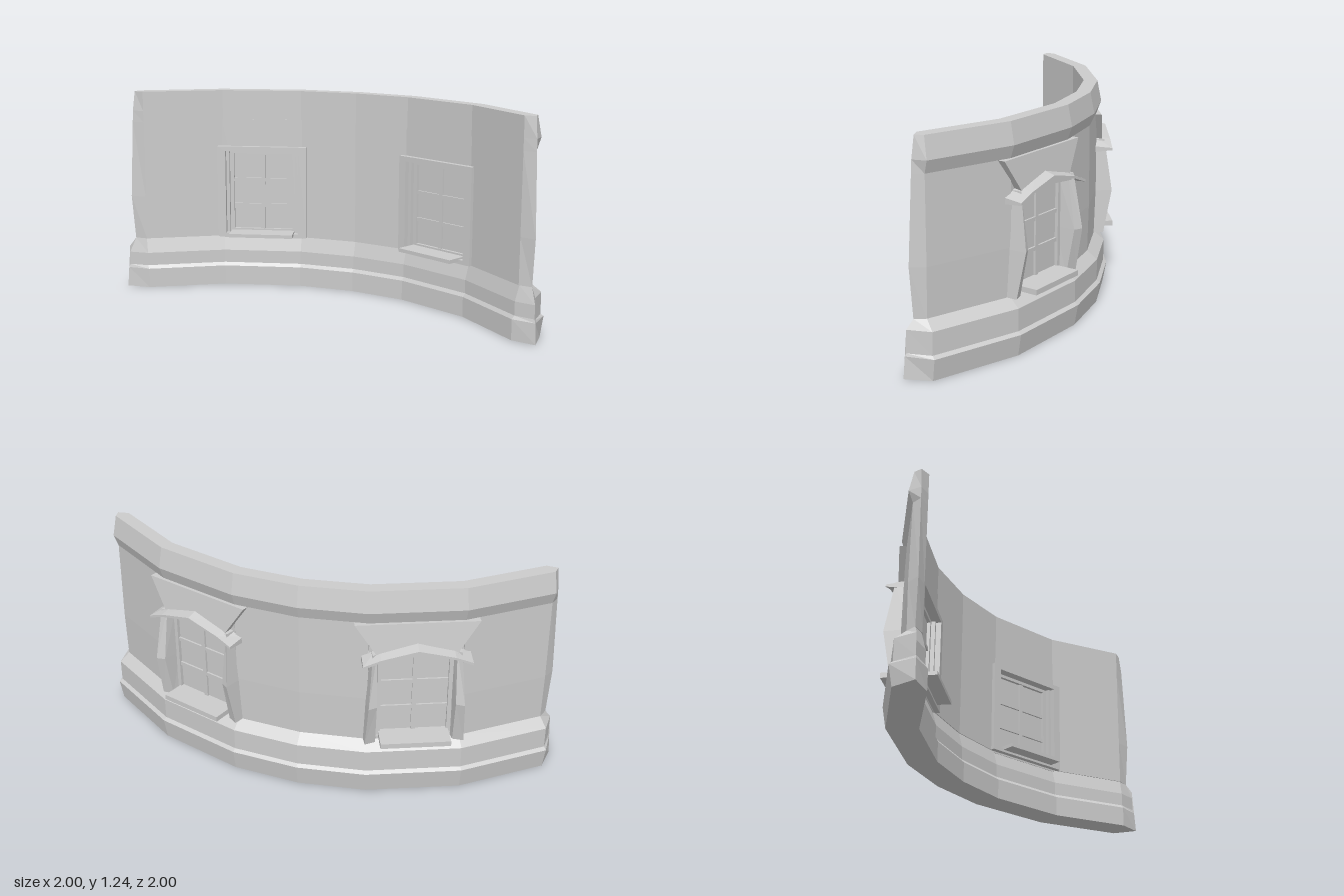
import * as THREE from 'three';

const CX = -0.88, CZ = 0.88;                 // centre of the quarter circle
const TIP_R = 1.77;                          // radius of the pointed wall ends
const HALF = 0.254;                          // half width of a window bay
const rad = THREE.MathUtils.degToRad;
const mat = new THREE.MeshStandardMaterial({ color: 0xcccccc, flatShading: true, side: THREE.DoubleSide });

function add(parent, name, geometry) {
  const m = new THREE.Mesh(geometry, mat);
  m.name = name;
  parent.add(m);
  return m;
}

function box(parent, name, w, h, d, x, y, z) {
  return add(parent, name, new THREE.BoxGeometry(w, h, d)).position.set(x, y, z);
}

// Capped solid through equal-length closed rings, turned outward by its signed volume
function loft(rings) {
  const tris = [], n = rings[0].length;
  for (let i = 0; i + 1 < rings.length; i++) {
    for (let j = 0; j < n; j++) {
      const k = (j + 1) % n;
      const a = rings[i][j], b = rings[i][k], c = rings[i + 1][k], d = rings[i + 1][j];
      tris.push([a, b, c], [a, c, d]);
    }
  }
  const last = rings[rings.length - 1];
  for (let j = 1; j + 1 < n; j++) {
    tris.push([rings[0][0], rings[0][j + 1], rings[0][j]], [last[0], last[j], last[j + 1]]);
  }
  let volume = 0;
  const cross = new THREE.Vector3();
  for (const [a, b, c] of tris) volume += a.dot(cross.crossVectors(b, c));
  const pts = tris.flatMap(([a, b, c]) => (volume < 0 ? [a, c, b] : [a, b, c]));
  const g = new THREE.BufferGeometry().setFromPoints(pts);
  g.computeVertexNormals();
  return g;
}

const V = (x, y, z) => new THREE.Vector3(x, y, z);

// Point on the arc: angle, radius, height and a shift along the tangent
function onArc(deg, r, y, shift = 0) {
  const a = rad(deg);
  return V(CX + r * Math.sin(a) + shift * Math.cos(a), y, CZ - r * Math.cos(a) + shift * Math.sin(a));
}

// How far the pointed end reaches past the arc at a height
const TIPS = [[0, 0.12], [0.12, 0.11], [0.14, 0.1], [0.26, 0.1], [0.31, 0.06], [0.58, 0.08], [1.12, 0.055], [1.24, 0.04]];
function tipReach(y) {
  for (let i = 1; i < TIPS.length; i++) {
    const [y0, t0] = TIPS[i - 1], [y1, t1] = TIPS[i];
    if (y <= y1) return t0 + (t1 - t0) * (y - y0) / (y1 - y0);
  }
  return 0.04;
}

// Sweep a profile of [radius, y] along the arc, closing to a tip at 0 and 90 degrees
function sweep(profile, angles) {
  const tip = (deg, s) => profile.map(([, y]) => onArc(deg, TIP_R, y, s * tipReach(y)));
  const rings = angles.map(a => profile.map(([r, y]) => onArc(a, r, y)));
  if (angles[0] === 0) rings.unshift(tip(0, -1));
  if (angles[angles.length - 1] === 90) rings.push(tip(90, 1));
  return loft(rings);
}

function rect(hw, y0, y1, Type = THREE.Shape) {
  return new Type([[-hw, y0], [hw, y0], [hw, y1], [-hw, y1]].map(p => new THREE.Vector2(...p)));
}

function framePlate(outer, hole, depth) {
  const shape = rect(...outer);
  shape.holes.push(rect(...hole, THREE.Path));
  return new THREE.ExtrudeGeometry(shape, { depth, bevelEnabled: false });
}

// One window bay: local z is the distance from the arc centre, x runs along the wall
function windowBay(name, deg) {
  const g = new THREE.Group();
  g.name = name;
  g.position.set(CX, 0, CZ);
  g.rotation.y = Math.PI - rad(deg);

  // Wall with its opening, and the flat surround on the inside
  add(g, 'bayWall', framePlate([HALF, 0.3, 1.06], [0.21, 0.33, 0.86], 0.08)).position.z = 1.701;
  add(g, 'innerSurround', framePlate([0.28, 0.31, 0.89], [0.23, 0.335, 0.86], 0.05)).position.z = 1.67;

  // Sash: pane, border and glazing bars
  box(g, 'pane', 0.42, 0.53, 0.012, 0, 0.595, 1.75);
  add(g, 'sash', framePlate([0.212, 0.33, 0.862], [0.185, 0.355, 0.84], 0.05)).position.z = 1.725;
  box(g, 'uprightBar', 0.025, 0.5, 0.036, 0, 0.595, 1.75);
  for (const y of [0.505, 0.67]) box(g, 'crossBar', 0.39, 0.022, 0.034, 0, y, 1.75);

  // Sills inside and outside
  box(g, 'innerSill', 0.4, 0.022, 0.13, 0, 0.335, 1.655);
  box(g, 'outerSill', 0.39, 0.03, 0.15, 0, 0.34, 1.829);

  // Bowed jambs: y, outer half width at the wall, front edge half width, front depth
  const jamb = [[0.31, 0.28, 0.275, 1.835], [0.57, 0.27, 0.262, 1.883], [0.88, 0.245, 0.24, 1.835]];
  for (const s of [-1, 1]) {
    add(g, 'jamb', loft(jamb.map(([y, w, f, d]) => [
      V(s * 0.205, y, 1.75), V(s * w, y, 1.75), V(s * f, y, d), V(s * 0.215, y, d - 0.02)])));
  }

  // Lintel with a slightly arched underside
  add(g, 'lintel', loft([[-0.24, 0.84, 0.87], [0, 0.862, 0.93], [0.24, 0.84, 0.87]].map(([x, lo, hi]) => [
    V(x, lo, 1.75), V(x, lo, 1.83), V(x, hi, 1.83), V(x, hi, 1.75)])));

  // Flared crown under the cornice
  add(g, 'hoodCrown', loft([[0.87, 0.215, 1.825], [1.05, 0.335, 1.8]].map(([y, w, d]) => [
    V(-w, y, 1.73), V(w, y, 1.73), V(w, y, d), V(-w, y, d)])));

  // Gabled brow over the opening
  const brow = [[-0.295, 0.832, 0.845], [-0.2, 0.868, 0.895], [0, 0.915, 0.945], [0.2, 0.868, 0.895], [0.295, 0.832, 0.845]];
  add(g, 'hoodBrow', loft(brow.map(([x, front, back]) => [
    V(x, front - 0.008, 1.875), V(x, front + 0.006, 1.875), V(x, back + 0.006, 1.76), V(x, back - 0.03, 1.76)])));
  return g;
}

export function createModel() {
  const model = new THREE.Group();
  model.name = 'curvedWall';
  const A = 16.5, B = 33, all = [0, A, B, 45, 90 - B, 90 - A, 90];

  // Stepped plinth
  add(model, 'plinth', sweep([
    [1.86, 0], [1.88, 0.12], [1.86, 0.135], [1.86, 0.26], [1.8, 0.31],
    [1.725, 0.31], [1.70, 0.22], [1.70, 0.14], [1.685, 0.12], [1.685, 0]], all));

  // Plain wall between the window bays
  const wall = [[1.8, 0.31], [1.805, 0.58], [1.8, 1.05], [1.72, 1.05], [1.72, 0.58], [1.72, 0.31]];
  for (const span of [[0, A], [B, 45, 90 - B], [90 - A, 90]]) add(model, 'wall', sweep(wall, span));

  // Cornice band
  add(model, 'cornice', sweep([
    [1.8, 1.05], [1.825, 1.12], [1.8, 1.24], [1.72, 1.24], [1.72, 1.12], [1.72, 1.05]], all));

  // Two matching window bays
  const mid = (A + B) / 2;
  model.add(windowBay('rightWindow', mid), windowBay('leftWindow', 90 - mid));
  return model;
}
